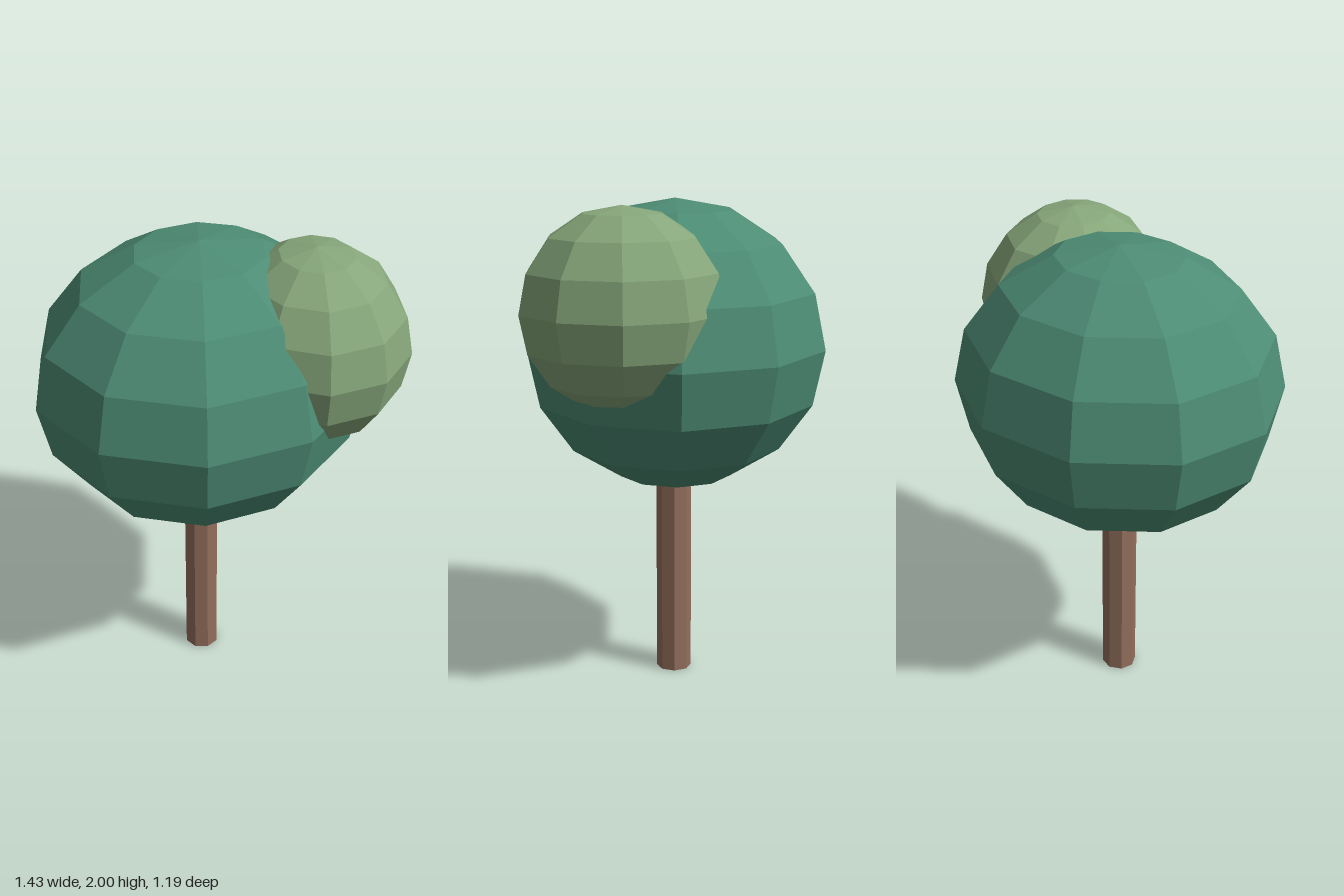
import * as THREE from 'three';

function part(name, geometry, color, position) {
  const mesh = new THREE.Mesh(
    geometry,
    new THREE.MeshStandardMaterial({ color, flatShading: true })
  );
  mesh.name = name;
  mesh.position.set(...position);
  return mesh;
}

// Low-poly ellipsoid of leaves
const foliage = (rx, ry, rz) => new THREE.SphereGeometry(1, 10, 8).scale(rx, ry, rz);

export function createModel() {
  const tree = new THREE.Group();
  tree.name = 'tree';

  // Octagonal trunk, its top buried in the crown
  const trunkHeight = 0.95;
  const trunk = new THREE.CylinderGeometry(0.073, 0.073, trunkHeight, 8);
  tree.add(part('trunk', trunk, 0x946f5c, [-0.042, trunkHeight / 2, 0]));

  // Main crown and the smaller lighter clump at its front left
  tree.add(part('crown', foliage(0.673, 0.587, 0.62), 0x4d8c75, [-0.042, 1.413, -0.005]));
  tree.add(part('leafClump', foliage(0.372, 0.395, 0.405), 0x86a67a, [0.34, 1.605, 0.208]));

  return tree;
}
